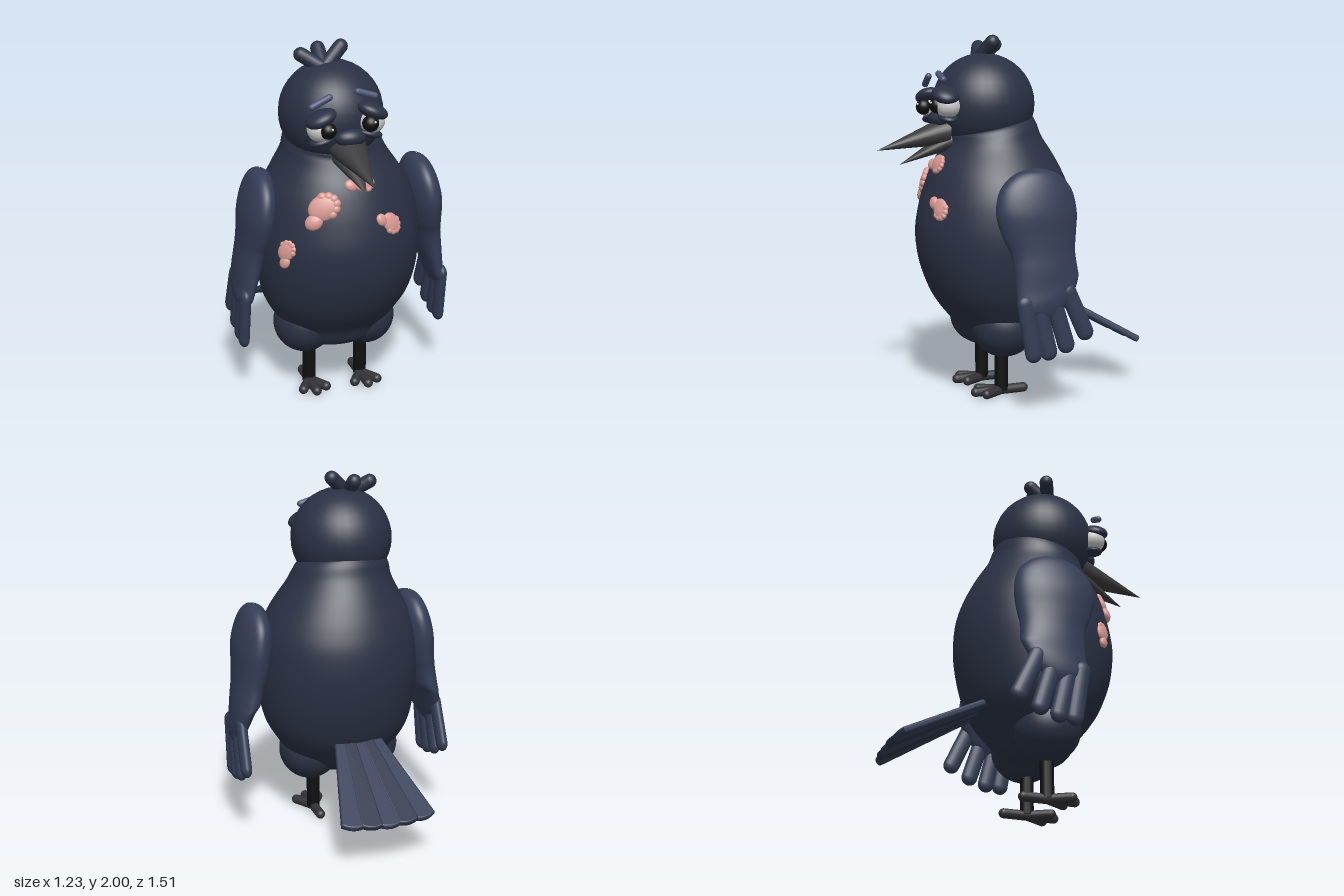
import * as THREE from 'three';

const V = (x, y, z) => new THREE.Vector3(x, y, z);
const mat = (color) => new THREE.MeshStandardMaterial({ color });
const navy = mat(0x2a3144), blue = mat(0x343d56), deep = mat(0x2c3449), browBlue = mat(0x4b5475);
const pink = mat(0xd99a94), beakGrey = mat(0x3b3b3d), black = mat(0x101010), toeGrey = mat(0x333337), white = mat(0xc4c6c2);

// cross-sections, bottom to top: [y, centreX, centreZ, radiusX, radiusZ, tilt]
const BODY = [
  [0.26, -0.045, 0.09, 0.004, 0.004, 0],
  [0.30, -0.045, 0.10, 0.20, 0.15, 0],
  [0.40, -0.045, 0.08, 0.30, 0.23, 0],
  [0.50, -0.045, 0.075, 0.37, 0.315, 0],
  [0.60, -0.04, 0.08, 0.42, 0.37, 0],
  [0.75, -0.035, 0.085, 0.45, 0.42, 0],
  [0.92, -0.035, 0.083, 0.46, 0.442, 0],
  [1.08, -0.035, 0.075, 0.445, 0.425, 0],
  [1.20, -0.04, 0.075, 0.41, 0.39, 0],
  [1.30, -0.045, 0.085, 0.355, 0.345, 0.05],
  [1.40, -0.055, 0.10, 0.295, 0.285, 0.15],
  [1.47, -0.065, 0.10, 0.268, 0.255, 0.22],
  [1.51, -0.07, 0.11, 0.23, 0.23, 0.22],
  [1.54, -0.07, 0.11, 0.10, 0.10, 0.2],
];

const wingRings = (s) => [
  [0.50, 0.578, 0.03, 0.004, 0.01, 0],
  [0.56, 0.574, 0.03, 0.035, 0.10, 0.15],
  [0.62, 0.565, 0.025, 0.05, 0.155, 0.25],
  [0.70, 0.547, 0.012, 0.06, 0.175, 0.2],
  [0.78, 0.525, 0.012, 0.076, 0.178, 0],
  [0.87, 0.505, 0.022, 0.085, 0.182, 0],
  [0.96, 0.487, 0.035, 0.096, 0.207, 0],
  [1.08, 0.475, 0.045, 0.102, 0.226, 0],
  [1.20, 0.462, 0.045, 0.085, 0.198, 0],
  [1.28, 0.456, 0.043, 0.052, 0.115, 0],
  [1.31, 0.455, 0.04, 0.003, 0.005, 0],
].map(([y, x, ...rest]) => [y, s * x, ...rest]);

// smooth skin through elliptical cross-sections
function loft(rings, steps = 72, sides = 56) {
  const spline = (f) => new THREE.CatmullRomCurve3(rings.map(f), false, 'catmullrom', 0.5);
  const centre = spline((r) => V(r[1], r[0], r[2])), size = spline((r) => V(r[3], r[5], r[4]));
  const pos = [], index = [];
  for (let i = 0; i <= steps; i++) {
    const c = centre.getPoint(i / steps), q = size.getPoint(i / steps);
    const rx = Math.max(q.x, 0.002), rz = Math.max(q.z, 0.002);
    for (let j = 0; j < sides; j++) {
      const a = (j / sides) * Math.PI * 2, dz = Math.sin(a) * rz;
      pos.push(c.x + Math.cos(a) * rx, c.y - q.y * dz, c.z + dz);
      if (i === steps) continue;
      const n = (j + 1) % sides, p = i * sides, u = p + sides;
      index.push(p + j, u + j, p + n, p + n, u + j, u + n);
    }
  }
  const g = new THREE.BufferGeometry();
  g.setAttribute('position', new THREE.Float32BufferAttribute(pos, 3));
  g.setIndex(index);
  g.computeVertexNormals();
  return g;
}

// point on the chest
function chest(x, y) {
  const i = BODY.findIndex((r) => r[0] > y), a = BODY[i - 1], b = BODY[i];
  const k = (y - a[0]) / (b[0] - a[0]);
  const [, cx, cz, rx, rz] = a.map((v, n) => v + (b[n] - v) * k);
  return V(x, y, cz + rz * Math.sqrt(Math.max(0, 1 - ((x - cx) / rx) ** 2)));
}

function add(parent, name, geometry, material) {
  const m = new THREE.Mesh(geometry, material);
  m.name = name;
  parent.add(m);
  return m;
}

function ball(parent, name, material, p, r, rotZ = 0) {
  const m = add(parent, name, new THREE.SphereGeometry(1, 32, 20), material);
  m.position.set(...p);
  m.scale.set(...r);
  m.rotation.z = rotZ;
  return m;
}

// rounded bar from the lower point to the upper one
function bar(parent, name, material, from, to, r, flat = 1) {
  const a = V(...from), b = V(...to), d = b.clone().sub(a);
  const m = add(parent, name, new THREE.CapsuleGeometry(r, d.length(), 8, 18), material);
  m.position.copy(a).add(b).multiplyScalar(0.5);
  m.quaternion.setFromUnitVectors(V(0, 1, 0), d.normalize());
  m.scale.x = flat;
  return m;
}

// beak half: cone whose base stays upright while the tip is sheared down
function beakHalf(parent, name, base, tip, rx, ry) {
  const g = new THREE.ConeGeometry(1, 1, 28, 8).translate(0, 0.5, 0);
  const p = g.attributes.position;
  for (let i = 0; i < p.count; i++) {
    const t = p.getY(i), at = (k) => base[k] + (tip[k] - base[k]) * t;
    p.setXYZ(i, at(0) + p.getX(i) * rx, at(1) - p.getZ(i) * ry, at(2));
  }
  g.computeVertexNormals();
  add(parent, name, g, beakGrey);
}

// bare skin patch with a scalloped rim, lying on the chest
function skinPatch(parent, x, y, s, turn) {
  const g = new THREE.Group();
  g.name = 'skinPatch';
  const p = chest(x, y), e = 0.02;
  const dx = chest(x + e, y).sub(p), dy = chest(x, y + e).sub(p);
  g.position.copy(p);
  g.quaternion.setFromUnitVectors(V(0, 0, 1), dx.cross(dy).normalize());
  g.rotateZ(turn);
  g.scale.setScalar(s);
  ball(g, 'patchCentre', pink, [0.02, 0.015, 0], [0.085, 0.068, 0.026]);
  ball(g, 'patchLobe', pink, [-0.06, -0.03, 0], [0.05, 0.042, 0.026]);
  for (let i = 0; i < 6; i++) {
    const a = -1.2 + i * 0.5;
    ball(g, 'patchScallop', pink, [0.02 + Math.cos(a) * 0.07, 0.015 + Math.sin(a) * 0.055, 0], [0.026, 0.024, 0.02]);
  }
  parent.add(g);
}

export function createModel() {
  const bird = new THREE.Group();
  bird.name = 'bird';

  add(bird, 'body', loft(BODY), navy);
  ball(bird, 'head', navy, [-0.08, 1.62, 0.13], [0.282, 0.28, 0.285]);

  // crest
  for (const tip of [[-0.235, 1.93, 0.1], [-0.125, 1.945, 0.045], [-0.015, 1.96, 0.1]])
    bar(bird, 'crestFeather', navy, [-0.125, 1.86, 0.15], tip, 0.039);

  // sad eyes with drooping lids and brows
  for (const [s, x, y] of [[-1, -0.22, 1.6], [1, 0.06, 1.62]]) {
    ball(bird, 'eyeWhite', white, [x, y, 0.385], [0.07, 0.065, 0.07]);
    ball(bird, 'pupil', black, [x - s * 0.025, y + 0.003, 0.44], [0.044, 0.044, 0.044]);
    ball(bird, 'glint', white, [x - s * 0.025 + 0.012, y + 0.018, 0.479], [0.007, 0.007, 0.007]);
    ball(bird, 'eyelid', navy, [x, y + 0.06, 0.4], [0.085, 0.042, 0.075], -s * 0.4);
    ball(bird, 'lowerLid', navy, [x - s * 0.01, y - 0.062, 0.385], [0.07, 0.025, 0.055], -s * 0.25);
  }
  bar(bird, 'browRight', browBlue, [-0.27, 1.725, 0.405], [-0.18, 1.772, 0.415], 0.018);
  bar(bird, 'browLeft', browBlue, [0.065, 1.762, 0.415], [-0.025, 1.79, 0.41], 0.018);

  // beak
  ball(bird, 'beakRoot', navy, [-0.06, 1.545, 0.395], [0.085, 0.05, 0.06]);
  beakHalf(bird, 'upperBeak', [-0.06, 1.48, 0.36], [-0.055, 1.38, 0.755], 0.1, 0.08);
  beakHalf(bird, 'lowerBeak', [-0.06, 1.425, 0.35], [-0.05, 1.3, 0.63], 0.085, 0.055);

  skinPatch(bird, -0.23, 1.165, 1, 0.45);
  skinPatch(bird, -0.02, 1.3, 0.72, -0.35);
  skinPatch(bird, 0.13, 1.08, 0.72, -0.9);
  skinPatch(bird, -0.4, 0.92, 0.7, 0.9);

  for (const s of [-1, 1]) {
    // wing with four finger feathers
    const wing = new THREE.Group();
    wing.name = s > 0 ? 'leftWing' : 'rightWing';
    add(wing, 'wingArm', loft(wingRings(s)), blue);
    for (const [z0, y0, z1, y1] of [[0.15, 0.61, 0.105, 0.345], [0.085, 0.62, 0.02, 0.35], [0.0, 0.64, -0.08, 0.38], [-0.09, 0.66, -0.19, 0.44]])
      bar(wing, 'wingFeather', blue, [s * 0.582, y1, z1], [s * 0.578, y0, z0], 0.047, 0.65);
    bird.add(wing);

    // leg and foot
    const x = -0.05 + s * 0.153, leg = new THREE.Group();
    leg.name = s > 0 ? 'leftLeg' : 'rightLeg';
    ball(leg, 'thigh', navy, [x + s * 0.025, 0.4, 0.09], [0.172, 0.172, 0.182]);
    add(leg, 'shin', new THREE.CylinderGeometry(0.038, 0.038, 0.3, 12), black).position.set(x, 0.18, 0.097);
    for (const [dx, z] of [[-0.067, 0.21], [0, 0.25], [0.067, 0.21], [0, -0.035]])
      bar(leg, 'toe', toeGrey, [x, 0.03, 0.1], [x + dx, 0.03, z], 0.027);
    bird.add(leg);
  }

  // fan tail of five flat feathers
  const tail = new THREE.Group();
  tail.name = 'tail';
  tail.position.set(-0.05, 0.53, -0.25);
  tail.rotation.x = -2.09;
  for (let i = 0; i < 5; i++) {
    const l = (i - 2.5) / 2.5, r = (i - 1.5) / 2.5, mid = (l + r) / 2;
    const end = (u) => 0.555 - 0.035 * u * u;
    const shape = new THREE.Shape();
    shape.moveTo(l * 0.13, 0);
    shape.lineTo(l * 0.255, end(l));
    shape.quadraticCurveTo(mid * 0.255, end(mid) + 0.025, r * 0.255, end(r));
    shape.lineTo(r * 0.13, 0);
    const g = new THREE.ExtrudeGeometry(shape, { depth: 0.012, bevelThickness: 0.012, bevelSize: 0.01, bevelSegments: 3, curveSegments: 8 });
    add(tail, 'tailFeather', g.translate(0, 0, -0.006 + (i % 2) * 0.003), i % 2 ? deep : blue);
  }
  bird.add(tail);

  return bird;
}
